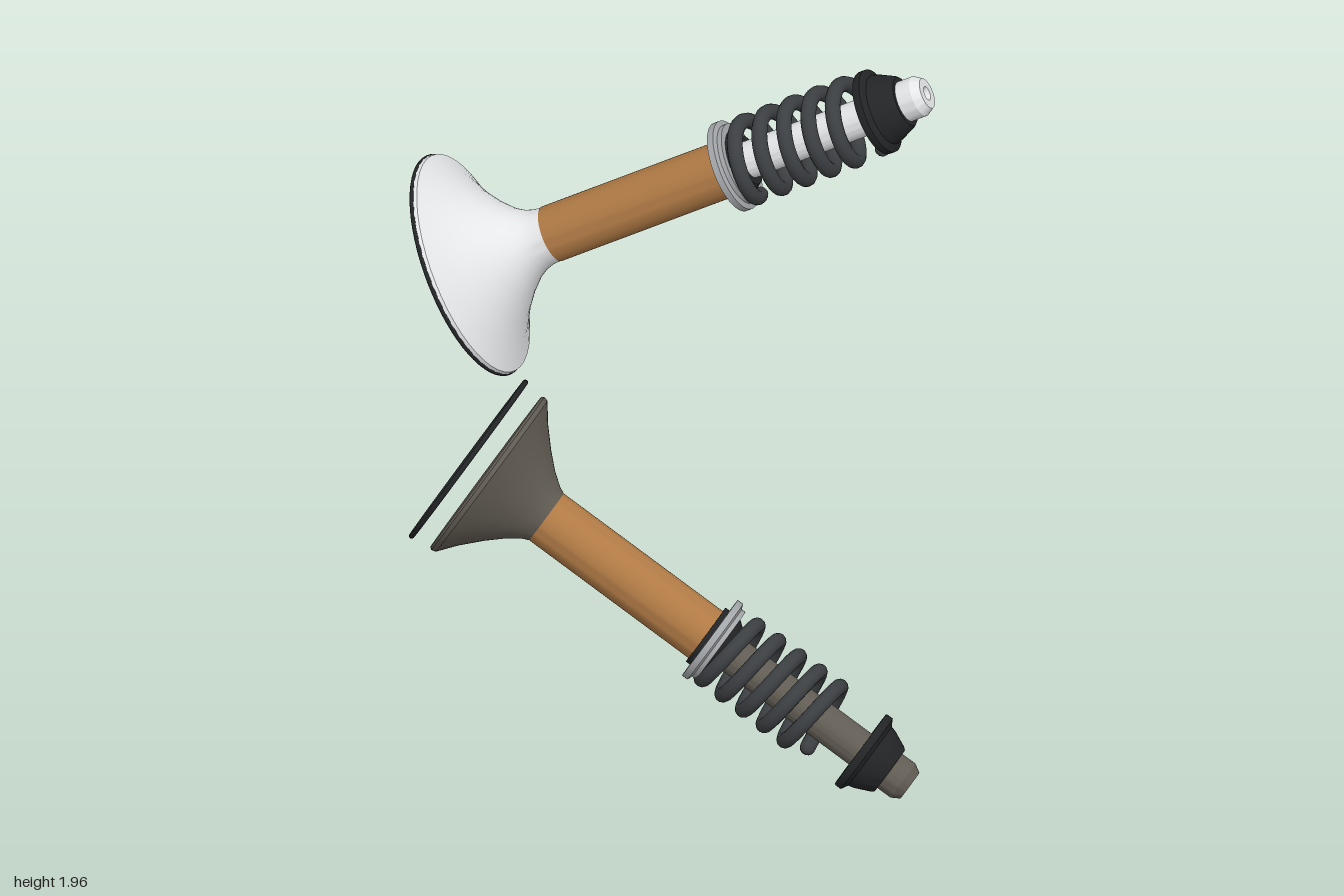
import * as THREE from 'three';
import { toCreasedNormals } from 'three/addons/utils/BufferGeometryUtils.js';

const mat = (color) => new THREE.MeshStandardMaterial({ color });
const WHITE = mat(0xe4e6e8), BRONZE = mat(0xb07a45), DARK = mat(0x625d54);
const WIRE = mat(0x3c3f42), BLACK = mat(0x222426), STEEL = mat(0xa4a7aa);

// Turned part: profile of [radius, height] pairs, running up the outside
function turned(name, profile, material) {
  const points = profile.map(([r, y]) => new THREE.Vector2(r, y));
  const geometry = toCreasedNormals(new THREE.LatheGeometry(points, 48), 0.5);
  const mesh = new THREE.Mesh(geometry, material);
  mesh.name = name;
  return mesh;
}

function ring(name, radius, tube, y, material) {
  const mesh = new THREE.Mesh(new THREE.TorusGeometry(radius, tube, 10, 64), material);
  mesh.rotation.x = Math.PI / 2;
  mesh.position.y = y;
  mesh.name = name;
  return mesh;
}

// Left-handed coil around the y axis
class Helix extends THREE.Curve {
  constructor(radius, y0, y1, turns) {
    super();
    Object.assign(this, { radius, y0, y1, turns });
  }
  getPoint(t, target = new THREE.Vector3()) {
    const a = t * this.turns * Math.PI * 2;
    return target.set(
      Math.cos(a) * this.radius,
      this.y0 + (this.y1 - this.y0) * t,
      Math.sin(a) * this.radius
    );
  }
}

function valve({ name, start, end, head, metal, ringRadius, springEnd }) {
  const group = new THREE.Group();
  group.name = name;
  const axis = end.clone().sub(start);
  const len = axis.length();
  group.position.copy(start);
  group.quaternion.setFromUnitVectors(new THREE.Vector3(0, 1, 0), axis.normalize());

  // Valve head and its sealing ring
  group.add(turned('valveHead', head, metal));
  group.add(ring('sealingRing', ringRadius, 0.007, 0.004, BLACK));

  // Guide sleeve around the stem
  group.add(turned('guideSleeve', [[0, 0.245], [0.073, 0.245], [0.073, 0.752], [0, 0.752]], BRONZE));

  // Stem with bevelled tip and centre hole
  group.add(turned('stem', [
    [0.048, 0.74], [0.048, len - 0.09], [0.053, len - 0.085], [0.053, len - 0.022],
    [0.04, len], [0.018, len], [0.014, len - 0.015], [0, len - 0.015]
  ], metal));

  // Black seal and stepped spring seat
  group.add(turned('stemSeal', [
    [0.05, 0.745], [0.084, 0.745], [0.084, 0.79], [0.065, 0.815], [0.048, 0.815]
  ], BLACK));
  group.add(turned('springSeat', [
    [0.085, 0.758], [0.118, 0.758], [0.118, 0.775], [0.105, 0.78],
    [0.105, 0.792], [0.085, 0.792], [0.085, 0.758]
  ], STEEL));

  // Coil spring with capped ends
  const coil = new Helix(0.096, 0.797, springEnd, 5);
  const spring = new THREE.Group();
  spring.name = 'spring';
  spring.add(new THREE.Mesh(new THREE.TubeGeometry(coil, 240, 0.02, 12), WIRE));
  for (const t of [0, 1]) {
    const cap = new THREE.Mesh(new THREE.SphereGeometry(0.02, 12, 8), WIRE);
    cap.position.copy(coil.getPoint(t));
    spring.add(cap);
  }
  group.add(spring);

  // Retainer: thin flange, step and tapered hub
  const r = len - 0.155;
  group.add(turned('springRetainer', [
    [0.046, r], [0.108, r], [0.11, r + 0.004], [0.11, r + 0.02], [0.092, r + 0.03],
    [0.088, r + 0.045], [0.07, r + 0.085], [0.064, r + 0.092], [0.046, r + 0.092]
  ], BLACK));
  return group;
}

export function createModel() {
  const model = new THREE.Group();
  model.name = 'valvePair';

  // Larger upper valve with a white metal finish
  model.add(valve({
    name: 'upperValve',
    start: new THREE.Vector3(-0.53, 1.33, 0),
    end: new THREE.Vector3(0.643, 1.944, -0.083),
    head: [
      [0, 0], [0.285, 0], [0.293, 0.006], [0.29, 0.018], [0.235, 0.046], [0.178, 0.085],
      [0.13, 0.128], [0.095, 0.168], [0.08, 0.195], [0.073, 0.22], [0.071, 0.25]
    ],
    metal: WHITE,
    ringRadius: 0.288,
    springEnd: 1.15
  }));

  // Smaller lower valve, dark, with its ring set off from the head
  model.add(valve({
    name: 'lowerValve',
    start: new THREE.Vector3(-0.53, 0.778, 0),
    end: new THREE.Vector3(0.643, 0.05, 0.085),
    head: [
      [0, 0.064], [0.01, 0.058], [0.234, 0.058], [0.239, 0.064], [0.236, 0.076],
      [0.19, 0.112], [0.142, 0.157], [0.105, 0.197], [0.08, 0.232], [0.072, 0.25]
    ],
    metal: DARK,
    ringRadius: 0.24,
    springEnd: 1.12
  }));
  return model;
}
